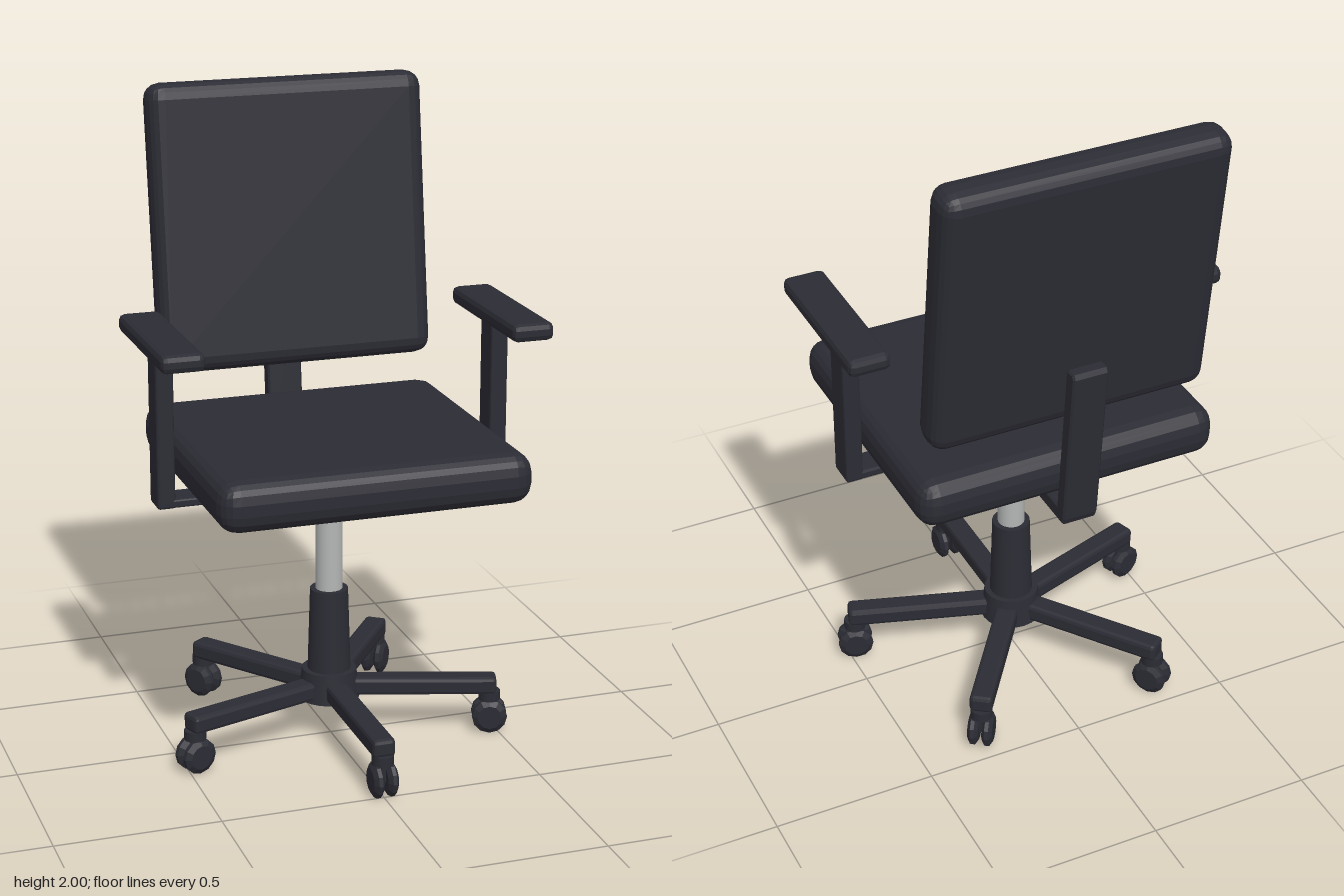
import * as THREE from 'three';
import { RoundedBoxGeometry } from 'three/addons/geometries/RoundedBoxGeometry.js';

const COLUMN_Z = -0.016;

export function createModel() {
  const chair = new THREE.Group();
  chair.name = 'officeChair';

  const dark = new THREE.MeshStandardMaterial({ color: 0x2c2c35 });
  dark.name = 'charcoal';
  const steel = new THREE.MeshStandardMaterial({ color: 0xb4b6b6 });
  steel.name = 'steel';

  const add = (parent, name, geometry, [x, y, z], material = dark) => {
    const mesh = new THREE.Mesh(geometry, material);
    mesh.name = name;
    mesh.position.set(x, y, z);
    parent.add(mesh);
    return mesh;
  };

  // Box with faceted, chamfered edges
  const softBox = (w, h, d, r, segments = 1) => {
    const g = new RoundedBoxGeometry(w, h, d, segments, r).toNonIndexed();
    g.computeVertexNormals();
    return g;
  };

  // Cushions
  add(chair, 'seat', softBox(0.96, 0.155, 0.91, 0.06, 2), [0, 0.932, 0.02]);
  const back = add(chair, 'backrest', softBox(0.88, 0.89, 0.13, 0.05, 2), [0, 1.555, -0.413]);
  back.rotation.x = -0.133;

  // Plate under the seat and height lever
  add(chair, 'seatPlate', softBox(0.44, 0.062, 0.477, 0.01), [0, 0.82, -0.018]);
  add(chair, 'heightLever', softBox(0.22, 0.016, 0.05, 0.004), [0.23, 0.808, 0.05]);

  // Bent bar that carries the backrest, drawn in profile (rearwards, up)
  const profile = new THREE.Shape([
    [0.2, 0.79], [0.475, 0.79], [0.483, 0.81], [0.535, 1.33], [0.527, 1.345],
    [0.496, 1.345], [0.486, 1.332], [0.438, 0.84], [0.2, 0.84],
  ].map(([a, b]) => new THREE.Vector2(a, b)));
  const bar = new THREE.ExtrudeGeometry(profile, {
    depth: 0.1, bevelEnabled: true, bevelSize: 0.006, bevelOffset: -0.006,
    bevelThickness: 0.006, bevelSegments: 1,
  });
  bar.translate(0, 0, -0.05);
  bar.rotateY(Math.PI / 2);
  add(chair, 'backrestBar', bar, [0, 0, 0]);

  // Armrests, mirrored
  for (const side of [1, -1]) {
    const arm = new THREE.Group();
    arm.name = side > 0 ? 'leftArmrest' : 'rightArmrest';
    add(arm, 'armPad', softBox(0.13, 0.055, 0.52, 0.018), [side * 0.535, 1.328, 0.04]);
    add(arm, 'armPost', softBox(0.055, 0.495, 0.095, 0.008), [side * 0.528, 1.06, 0.002]);
    add(arm, 'armBracket', softBox(0.31, 0.027, 0.095, 0.006), [side * 0.398, 0.828, 0.002]);
    chair.add(arm);
  }

  // Gas lift and column
  add(chair, 'gasLift', new THREE.CylinderGeometry(0.042, 0.042, 0.34, 24), [0, 0.63, COLUMN_Z], steel);
  add(chair, 'columnSleeve', new THREE.CylinderGeometry(0.059, 0.068, 0.29, 24), [0, 0.335, COLUMN_Z]);
  add(chair, 'hub', new THREE.CylinderGeometry(0.085, 0.096, 0.095, 20), [0, 0.168, COLUMN_Z]);

  // Faceted wheel turned around its axle
  const wheel = new THREE.LatheGeometry([
    [0, -0.0165], [0.038, -0.0165], [0.055, -0.006], [0.055, 0.006], [0.038, 0.0165], [0, 0.0165],
  ].map(([r, h]) => new THREE.Vector2(r, h)), 12).toNonIndexed();
  wheel.computeVertexNormals();
  wheel.rotateZ(Math.PI / 2);

  // Five legs with twin-wheel casters, one pointing forward
  for (let i = 0; i < 5; i++) {
    const leg = new THREE.Group();
    leg.name = 'leg' + (i + 1);
    leg.position.z = COLUMN_Z;
    leg.rotation.y = (i * Math.PI * 2) / 5;
    add(leg, 'legBeam', softBox(0.07, 0.057, 0.48, 0.012), [0, 0.158, 0.283]);
    add(leg, 'casterCap', new THREE.CylinderGeometry(0.034, 0.034, 0.03, 12), [0, 0.12, 0.503]);
    add(leg, 'casterFork', new THREE.BoxGeometry(0.016, 0.07, 0.03), [0, 0.085, 0.503]);
    for (const side of [1, -1]) add(leg, 'casterWheel', wheel, [side * 0.022, 0.055, 0.503]);
    chair.add(leg);
  }

  return chair;
}
